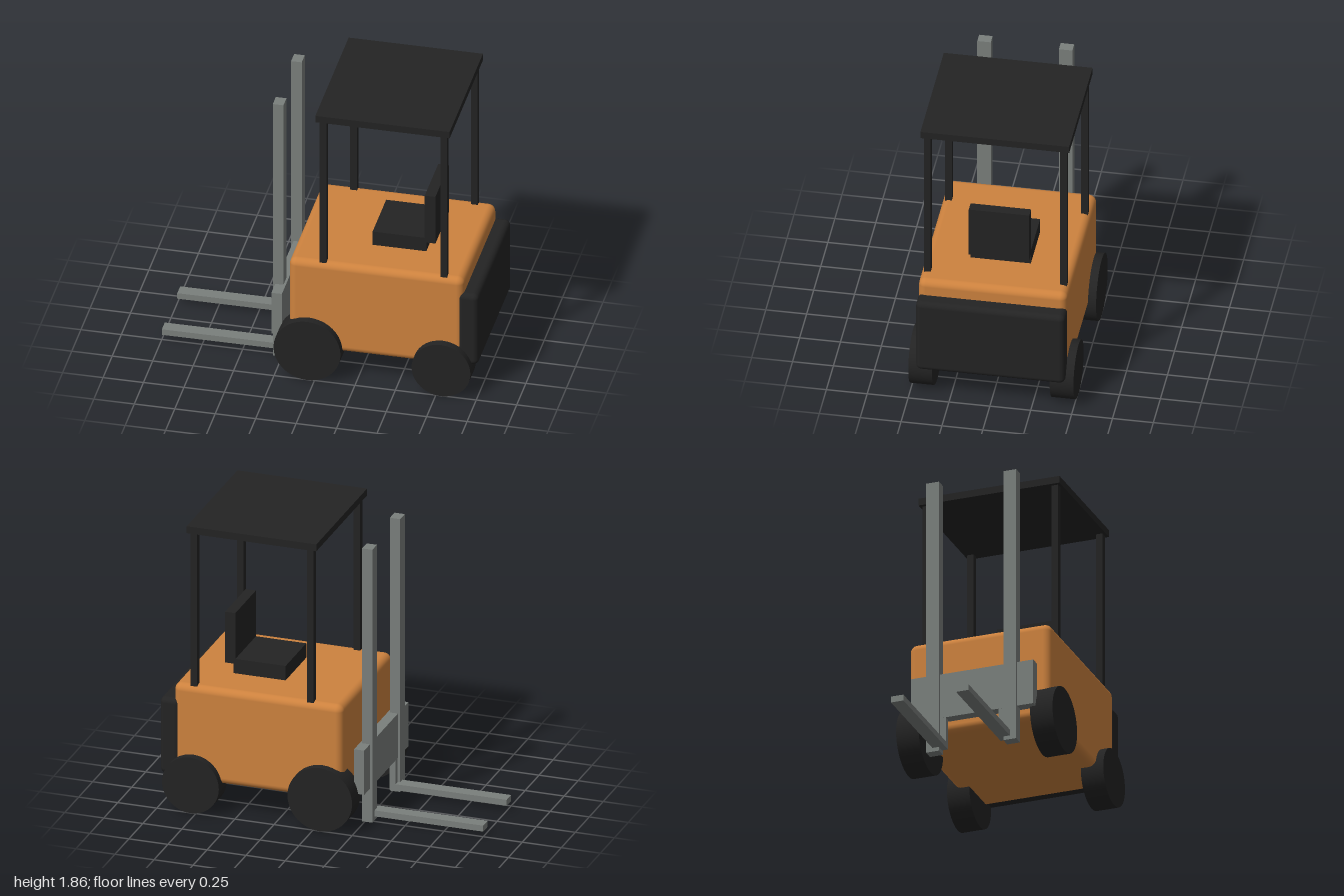
import * as THREE from 'three';
import { RoundedBoxGeometry } from 'three/addons/geometries/RoundedBoxGeometry.js';

export function createModel() {
  const model = new THREE.Group();
  model.name = 'forklift';

  const material = (name, color) => {
    const m = new THREE.MeshStandardMaterial({ color });
    m.name = name;
    return m;
  };
  const orange = material('orange paint', 0xcd823e);
  const black = material('black', 0x232323);
  const steel = material('grey steel', 0x7a7f7c);

  const add = (name, geometry, mat, x, y, z) => {
    const mesh = new THREE.Mesh(geometry, mat);
    mesh.name = name;
    mesh.position.set(x, y, z);
    model.add(mesh);
    return mesh;
  };
  // Box given by its extents on each axis; a radius rounds its edges
  const box = (name, mat, [x0, x1], [y0, y1], [z0, z1], radius = 0) => {
    const size = [x1 - x0, y1 - y0, z1 - z0];
    const geometry = radius
      ? new RoundedBoxGeometry(...size, 4, radius)
      : new THREE.BoxGeometry(...size);
    return add(name, geometry, mat, (x0 + x1) / 2, (y0 + y1) / 2, (z0 + z1) / 2);
  };
  const wheel = (name, x, radius, side) => {
    const geometry = new THREE.CylinderGeometry(radius, radius, 0.145, 40);
    geometry.rotateX(Math.PI / 2);
    add(name, geometry, black, x, radius, side * 0.4325);
  };

  // Chassis and counterweight
  box('body', orange, [-0.17, 0.91], [0.19, 0.813], [-0.455, 0.455], 0.045);
  box('counterweight', black, [0.87, 1], [0.21, 0.71], [-0.456, 0.456], 0.035);

  // Seat
  box('seatCushion', black, [0.288, 0.62], [0.8, 0.907], [-0.185, 0.185]);
  box('seatBack', black, [0.61, 0.676], [0.875, 1.207], [-0.185, 0.185]);

  // Overhead guard
  box('roof', black, [-0.005, 0.825], [1.81, 1.855], [-0.455, 0.455]);

  // Lift carriage
  box('carriage', steel, [-0.29, -0.225], [0.23, 0.52], [-0.395, 0.395]);

  for (const side of [-1, 1]) {
    const span = (a, b) => (side > 0 ? [a, b] : [-b, -a]);
    const label = side > 0 ? 'left' : 'right';

    // Wheels
    wheel(label + 'FrontWheel', -0.045, 0.207, side);
    wheel(label + 'RearWheel', 0.783, 0.182, side);

    // Roof posts
    for (const [end, x] of [['Front', 0.039], ['Rear', 0.785]]) {
      box(label + end + 'Post', black, [x - 0.021, x + 0.021], [0.8, 1.82], span(0.395, 0.437));
    }

    // Mast rail and L-shaped fork
    box(label + 'Mast', steel, [-0.305, -0.239], [0.008, 1.797], span(0.208, 0.291));
    box(label + 'ForkBlade', steel, [-1, -0.25], [0.033, 0.072], span(0.17, 0.25));
    box(label + 'ForkShank', steel, [-0.289, -0.25], [0.033, 0.45], span(0.17, 0.25));
  }

  return model;
}
